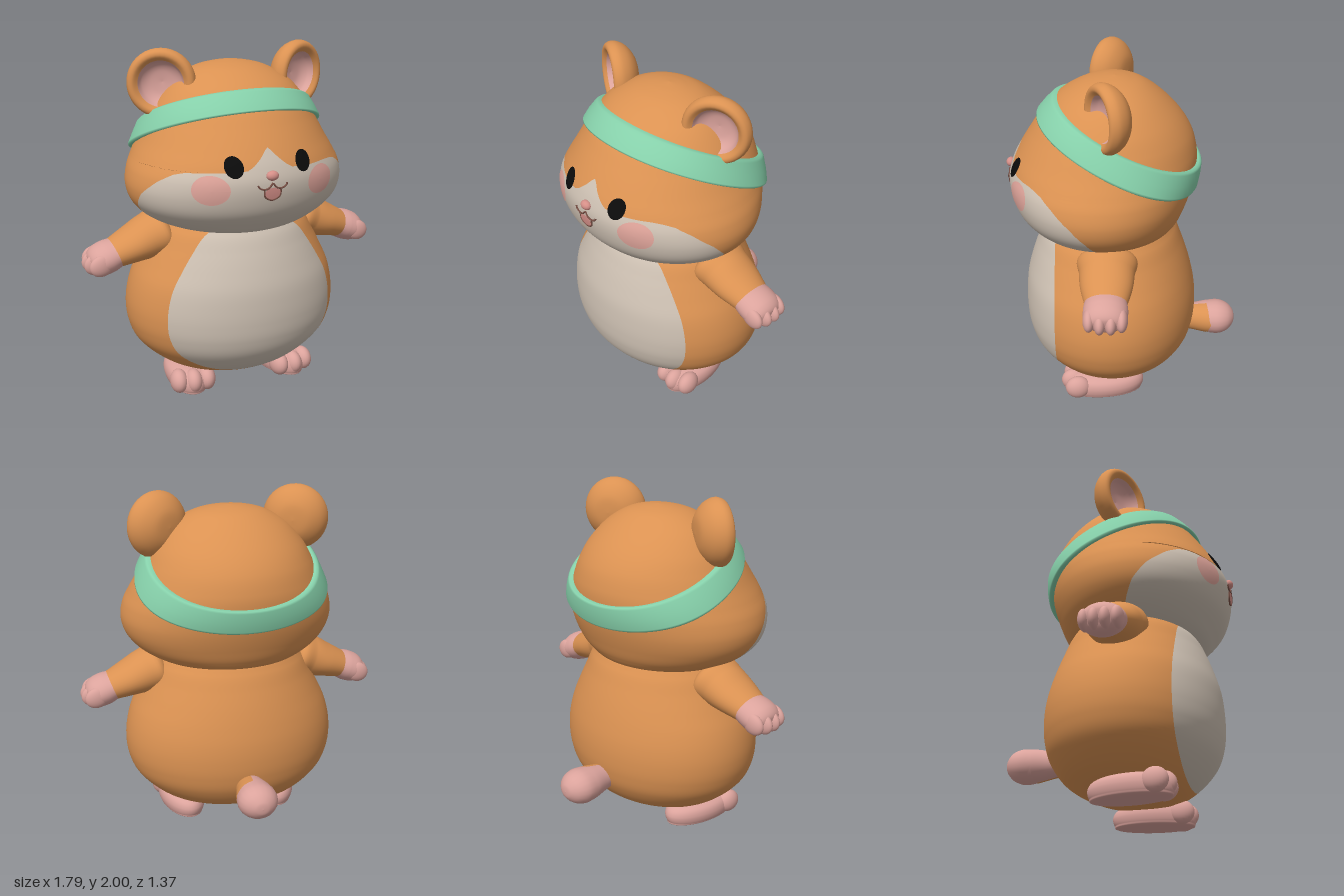
import * as THREE from 'three';

const mat = (name, color) => Object.assign(new THREE.MeshStandardMaterial({ color }), { name });
const fur = mat('orange fur', 0xdb9252);
const cream = mat('cream fur', 0xcdc0b2);
const pink = mat('pink skin', 0xdba39c);
const blush = mat('blush', 0xdfa49a);
const rose = mat('rose nose', 0xd58f88);
const black = mat('black eye', 0x0b0b0b);
const brown = mat('mouth line', 0x7a5045);
const mint = mat('mint band', 0x86d0aa);

// Each row is [height, half width, front z, back z]
const headRows = [
  [0.97, 0, 0.1, 0.1], [0.985, 0.25, 0.35, -0.15], [1.02, 0.41, 0.48, -0.27], [1.08, 0.53, 0.555, -0.325],
  [1.16, 0.605, 0.62, -0.36], [1.25, 0.632, 0.652, -0.39], [1.34, 0.618, 0.66, -0.41], [1.42, 0.58, 0.638, -0.42],
  [1.5, 0.537, 0.597, -0.415], [1.6, 0.487, 0.535, -0.385], [1.7, 0.43, 0.465, -0.32], [1.8, 0.34, 0.37, -0.22],
  [1.87, 0.22, 0.25, -0.12], [1.9, 0.11, 0.15, -0.03], [1.912, 0, 0.05, 0.05],
];
const bodyRows = [
  [0.08, 0, 0.1, 0.1], [0.09, 0.2, 0.25, -0.1], [0.13, 0.36, 0.37, -0.22], [0.2, 0.48, 0.465, -0.33],
  [0.3, 0.58, 0.545, -0.4], [0.4, 0.623, 0.58, -0.428], [0.5, 0.635, 0.59, -0.435], [0.6, 0.625, 0.588, -0.428],
  [0.7, 0.597, 0.577, -0.408], [0.8, 0.55, 0.55, -0.38], [0.9, 0.5, 0.515, -0.345], [1.0, 0.45, 0.47, -0.305],
  [1.07, 0.38, 0.4, -0.25], [1.11, 0.2, 0.25, -0.1], [1.12, 0, 0.1, 0.1],
];

// Smooth interpolation through the rows, u in 0..1
function rowAt(rows, u) {
  const f = u * (rows.length - 1), i = Math.min(Math.floor(f), rows.length - 2), t = f - i;
  const r = (k) => rows[THREE.MathUtils.clamp(i + k, 0, rows.length - 1)];
  return rows[0].map((_, k) => {
    const [a, b, c, d] = [r(-1)[k], r(0)[k], r(1)[k], r(2)[k]];
    return b + 0.5 * t * (c - a + t * (2 * a - 5 * b + 4 * c - d + t * (3 * (b - c) + d - a)));
  });
}

function pointOn(rows, u, t) {
  const [y, w, front, back] = rowAt(rows, u);
  return new THREE.Vector3(w * Math.sin(t), y, (front + back) / 2 + (front - back) / 2 * Math.cos(t));
}

// Grid surface closed around its columns; columns run outside so patches stay contiguous
function grid(rowCount, cols, fn) {
  const pos = [], index = [];
  for (let i = 0; i <= rowCount; i++) for (let j = 0; j < cols; j++) pos.push(...fn(i, j).toArray());
  for (let j = 0; j < cols; j++) for (let i = 0; i < rowCount; i++) {
    const a = i * cols + j, b = i * cols + (j + 1) % cols;
    index.push(a, b, a + cols, b, b + cols, a + cols);
  }
  const g = new THREE.BufferGeometry();
  g.setAttribute('position', new THREE.Float32BufferAttribute(pos, 3));
  g.setIndex(index);
  g.computeVertexNormals();
  return g;
}

// Elliptical loft; patch(row) gives the half angle of a second colour around the front
function loft(rows, n, cols, patch) {
  const inner = patch ? Math.round(cols / 3) : 0, normals = [];
  const g = grid(n, cols, (i, j) => {
    const u = i / n, b = patch ? patch(rowAt(rows, u)) : 0;
    const t = j < inner ? -b + 2 * b * j / inner : b + (2 * Math.PI - 2 * b) * (j - inner) / (cols - inner);
    const v = THREE.MathUtils.clamp(u, 0.004, 0.996), e = 0.003;
    const du = pointOn(rows, v + e, t).sub(pointOn(rows, v - e, t));
    const dt = pointOn(rows, v, t + e).sub(pointOn(rows, v, t - e));
    normals.push(...dt.cross(du).normalize().toArray());
    return pointOn(rows, u, t);
  });
  g.setAttribute('normal', new THREE.Float32BufferAttribute(normals, 3));
  if (patch) {
    g.addGroup(0, inner * n * 6, 0);
    g.addGroup(inner * n * 6, (cols - inner) * n * 6, 1);
  }
  return g;
}

function solve(f) {
  let lo = 0, hi = 1;
  for (let k = 0; k < 30; k++) {
    const m = (lo + hi) / 2;
    if (f(m) < 0) lo = m; else hi = m;
  }
  return lo;
}

// Depth of the face surface at x, y
function faceZ(x, y) {
  const [, w, front, back] = rowAt(headRows, solve((u) => rowAt(headRows, u)[0] - y));
  return (front + back) / 2 + (front - back) / 2 * Math.sqrt(Math.max(0, 1 - (x / w) ** 2));
}

function table(points, x) {
  let k = 1;
  while (k < points.length - 1 && x > points[k][0]) k++;
  const [a, b] = [points[k - 1], points[k]];
  return THREE.MathUtils.lerp(a[1], b[1], THREE.MathUtils.clamp((x - a[0]) / (b[0] - a[0]), 0, 1));
}

export function createModel() {
  const model = new THREE.Group();
  model.name = 'hamster';
  const add = (name, geometry, material, parent = model) => {
    const m = new THREE.Mesh(geometry, material);
    m.name = name;
    parent.add(m);
    return m;
  };
  const group = (name, x, y, z) => {
    const g = new THREE.Group();
    g.name = name;
    g.position.set(x, y, z);
    model.add(g);
    return g;
  };
  const ball = (name, material, parent, p, s) => {
    const m = add(name, new THREE.SphereGeometry(1, 24, 16), material, parent);
    m.position.set(...p);
    m.scale.set(...s);
  };

  // Body with cream belly, head with cream muzzle
  add('body', loft(bodyRows, 110, 120, ([, , f, b]) =>
    f - b < 0.01 ? 0 : Math.acos(THREE.MathUtils.clamp((0.388 - (f + b) / 2) / ((f - b) / 2), -1, 1))), [cream, fur]);
  const muzzle = [[0.97, 1.5], [1.06, 1.51], [1.16, 1.43], [1.25, 1.28], [1.34, 1.07], [1.385, 0.92],
    [1.4, 0.8], [1.408, 0.24], [1.43, 0.17], [1.47, 0.09], [1.505, 0.035], [1.52, 0]];
  add('head', loft(headRows, 150, 132, ([y]) => table(muzzle, y)), [cream, fur]);

  // Tilted headband wrapped round the head
  const bandProfile = [[-0.073, -0.02], [-0.077, 0.012], [-0.071, 0.024], [-0.06, 0.029], [0, 0.03],
    [0.06, 0.029], [0.071, 0.024], [0.077, 0.012], [0.073, -0.02]];
  add('headband', grid(bandProfile.length - 1, 96, (i, j) => {
    const t = j / 96 * Math.PI * 2, [s, off] = bandProfile[i];
    const u = solve((v) => {
      const p = pointOn(headRows, v, t);
      return p.y - 1.56 - 0.47 * (p.z - 0.03) - s;
    });
    return pointOn(headRows, u, t).add(new THREE.Vector3(Math.sin(t) * off, 0, Math.cos(t) * off));
  }), mint);

  // Plates that follow the face
  const decal = (name, material, x, y, rx, ry, lift) => {
    const g = new THREE.RingGeometry(0, 1, 40, 6).scale(rx, ry, 1).translate(x, y, 0);
    const p = g.attributes.position;
    for (let i = 0; i < p.count; i++) p.setZ(i, faceZ(p.getX(i), p.getY(i)) + lift);
    g.computeVertexNormals();
    add(name, g, material);
  };
  decal('tongue', rose, 0, 1.286, 0.046, 0.034, 0.006);
  ball('nose', rose, model, [0, 1.383, faceZ(0, 1.383) + 0.004], [0.035, 0.027, 0.026]);
  const line = (name, pts) => add(name, new THREE.TubeGeometry(new THREE.CatmullRomCurve3(
    pts.map(([x, y]) => new THREE.Vector3(x, y, faceZ(x, y) + 0.004))), 24, 0.005, 6), brown);
  line('mouthRim', [[-0.048, 1.308], [-0.042, 1.27], [0, 1.25], [0.042, 1.27], [0.048, 1.308]]);

  // Ear profile: rounded back and rim, then the hollow
  const lathe = (pts) => new THREE.LatheGeometry(
    new THREE.SplineCurve(pts.map((p) => new THREE.Vector2(...p))).getPoints(28), 40).rotateX(Math.PI / 2);
  const earShell = [[0, -0.105], [0.09, -0.095], [0.16, -0.05], [0.192, 0.01], [0.182, 0.055], [0.155, 0.065], [0.128, 0.045]];
  const earHollow = [[0.128, 0.045], [0.11, 0.01], [0.07, -0.015], [0, -0.025]];

  const armRows = [[-0.06, 0, 0, 0], [0, 0.12, 0.16, -0.16], [0.1, 0.125, 0.155, -0.155], [0.2, 0.105, 0.145, -0.145],
    [0.3, 0.086, 0.12, -0.12], [0.33, 0.08, 0.11, -0.11]];
  const handRows = [[0.31, 0.084, 0.117, -0.117], [0.36, 0.092, 0.122, -0.122], [0.42, 0.085, 0.116, -0.116],
    [0.46, 0.055, 0.08, -0.08], [0.47, 0, 0, 0]];
  const footRows = [[0.005, 0, 0, 0], [0.006, 0.1, 0.2, -0.21], [0.025, 0.122, 0.23, -0.24], [0.07, 0.13, 0.235, -0.25],
    [0.11, 0.115, 0.215, -0.225], [0.135, 0.07, 0.15, -0.15], [0.142, 0, 0, 0]];

  for (const s of [1, -1]) {
    const side = s > 0 ? 'left' : 'right';
    decal(side + 'Eye', black, s * 0.2, 1.435, 0.049, 0.055, 0.009);
    decal(side + 'Cheek', blush, s * 0.32, 1.314, 0.093, 0.08, 0.005);
    line(side + 'Smile', [[0, 1.345], [s * 0.022, 1.32], [s * 0.05, 1.313], [s * 0.078, 1.325], [s * 0.085, 1.34]]);

    const ear = group(side + 'Ear', s * 0.405, 1.808, 0.075);
    ear.rotation.y = s * 0.46;
    add('earShell', lathe(earShell), fur, ear);
    add('earHollow', lathe(earHollow), pink, ear);

    // Arm along its own y axis, with a four-fingered paw
    const arm = group(side + 'Arm', s * 0.42, 0.97, 0.085);
    arm.rotation.z = -s * (Math.PI / 2 + 0.36);
    add('sleeve', loft(armRows, 30, 40), fur, arm);
    add('paw', loft(handRows, 24, 40), pink, arm);
    for (const z of [-0.088, -0.03, 0.03, 0.088]) {
      ball('finger', pink, arm, [0, Math.abs(z) > 0.05 ? 0.418 : 0.435, z], [0.062, 0.07, 0.034]);
    }

    // Foot with three toes
    const foot = group(side + 'Foot', s * 0.3, 0, 0.125);
    foot.rotation.y = s * 0.12;
    add('sole', loft(footRows, 30, 48), pink, foot);
    for (const k of [-1, 0, 1]) {
      ball('toe', pink, foot, [k * 0.083, 0.077, 0.175 - Math.abs(k) * 0.02], [0.052, 0.07, 0.075]);
    }
  }

  // Tail with a pink tip that runs further down one side
  const tailRows = [[0, 0.068, 0.068, -0.068], [0.09, 0.085, 0.088, -0.088], [0.17, 0.098, 0.11, -0.11],
    [0.24, 0.101, 0.116, -0.116], [0.295, 0.08, 0.092, -0.092], [0.33, 0.04, 0.045, -0.045], [0.338, 0, 0, 0]];
  const tail = loft(tailRows, 50, 60, ([y]) => table([[0, 1.5], [0.165, 1.65], [0.185, Math.PI]], y));
  tail.rotateY(-Math.PI / 2).rotateX(-Math.PI / 2).translate(0, 0.337, -0.35);
  add('tail', tail, [pink, fur]);
  return model;
}
